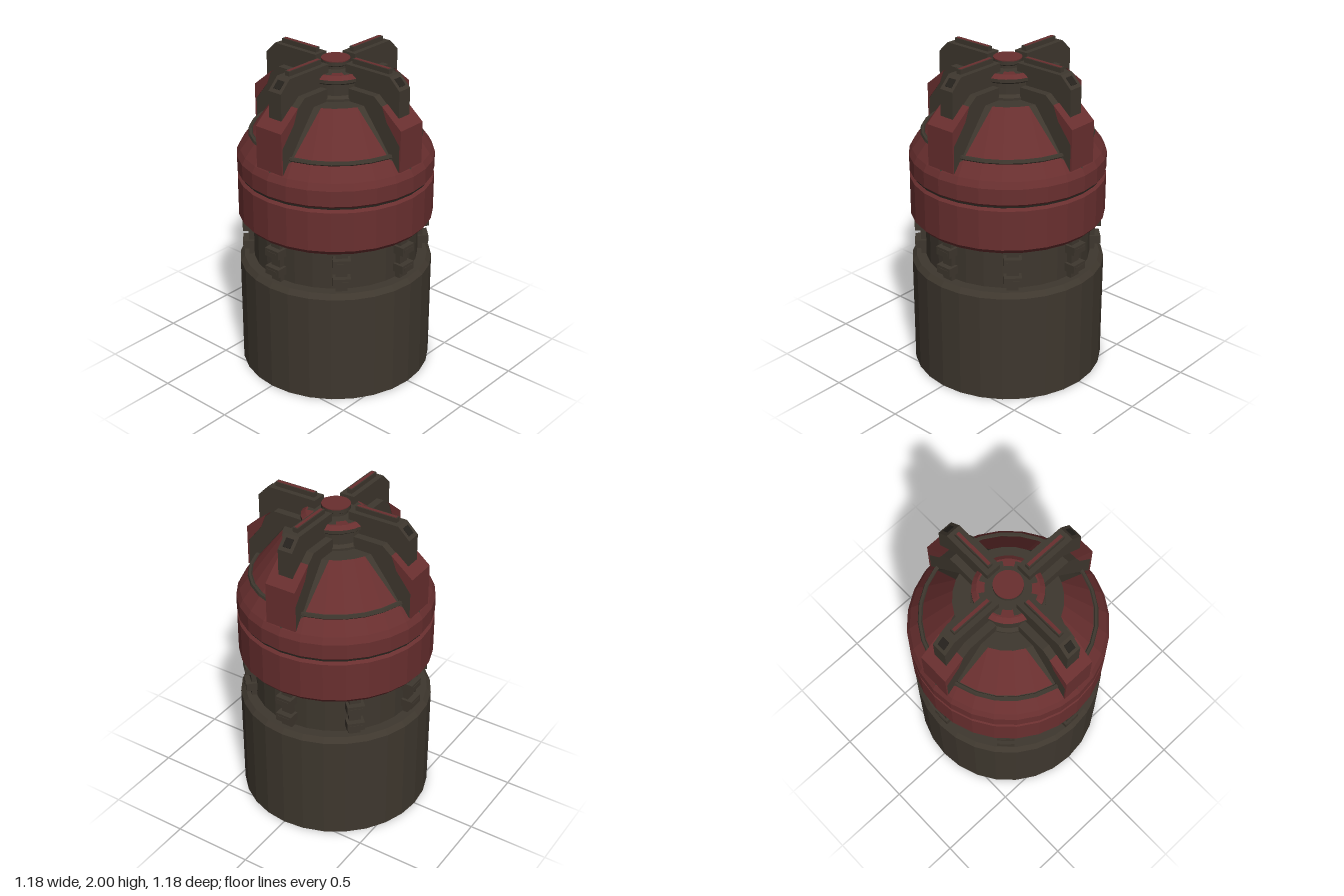
import * as THREE from 'three';

const SEG = 28;
const mat = (name, color, side = THREE.FrontSide) => {
  const m = new THREE.MeshStandardMaterial({ color, flatShading: true, side });
  m.name = name;
  return m;
};

export function createModel() {
  const dark = mat('dark brown metal', 0x3e372e);
  const red = mat('dull red paint', 0x692f2f);
  const black = mat('shadow brown', 0x26221d);
  const root = new THREE.Group();

  const add = (parent, name, geo, material, x = 0, y = 0, z = 0) => {
    const mesh = new THREE.Mesh(geo, material);
    mesh.name = name;
    mesh.position.set(x, y, z);
    parent.add(mesh);
    return mesh;
  };
  const lathe = (name, pts, material) =>
    add(root, name, new THREE.LatheGeometry(pts.map(p => new THREE.Vector2(...p)), SEG), material);
  const box = (parent, name, size, pos, material) =>
    add(parent, name, new THREE.BoxGeometry(...size), material, ...pos);
  // profile in (radius, height), extruded symmetrically across its width
  const slab = (parent, name, pts, width, material) => {
    const geo = new THREE.ExtrudeGeometry(
      new THREE.Shape(pts.map(p => new THREE.Vector2(...p))), { depth: width, bevelEnabled: false });
    geo.translate(0, 0, -width / 2);
    return add(parent, name, geo, material);
  };

  // conical band with a red panel in each quarter, tapering away from the arms
  function paintedBand(name, r0, y0, r1, y1, margin) {
    const lists = { dark: [], red: [] };
    const pt = (i, r, y) => {
      const a = i / SEG * Math.PI * 2;
      return [Math.sin(a) * r, y, Math.cos(a) * r];
    };
    for (let i = 0; i < SEG; i++) {
      const k = i % 7;
      const a = pt(i, r0, y0), b = pt(i + 1, r0, y0), c = pt(i + 1, r1, y1), d = pt(i, r1, y1);
      if (k === margin) {
        lists.red.push(...a, ...b, ...c);
        lists.dark.push(...a, ...c, ...d);
      } else if (k === 6 - margin) {
        lists.red.push(...a, ...b, ...d);
        lists.dark.push(...b, ...c, ...d);
      } else {
        const inside = k > margin && k < 6 - margin;
        lists[inside ? 'red' : 'dark'].push(...a, ...b, ...c, ...a, ...c, ...d);
      }
    }
    for (const [key, list] of Object.entries(lists)) {
      const geo = new THREE.BufferGeometry();
      geo.setAttribute('position', new THREE.Float32BufferAttribute(list, 3));
      geo.computeVertexNormals();
      add(root, name + (key === 'red' ? 'Paint' : 'Metal'), geo, key === 'red' ? red : dark);
    }
  }

  // canister body and recessed neck
  lathe('baseCanister', [[0, 0], [0.592, 0], [0.592, 0.69], [0.565, 0.72], [0.5, 0.72]], dark);
  lathe('neck', [[0.505, 0.71], [0.505, 0.99]], dark);

  // red collar rings with a dark seam between
  lathe('lowerCollar', [[0.5, 0.98], [0.565, 0.98], [0.592, 1.01], [0.592, 1.255], [0.575, 1.27], [0.55, 1.27]], red);
  lathe('collarSeam', [[0.575, 1.26], [0.575, 1.29]], black);
  lathe('upperCollar', [[0.55, 1.28], [0.575, 1.28], [0.592, 1.295], [0.592, 1.39], [0.572, 1.43]], red);
  paintedBand('shoulder', 0.572, 1.43, 0.512, 1.51, 0);
  lathe('shoulderRim', [[0.512, 1.51], [0.52, 1.518], [0.515, 1.533], [0.5, 1.533], [0.495, 1.525], [0.488, 1.53]], dark);

  // domed cone and central hub
  paintedBand('cone', 0.492, 1.53, 0.312, 1.775, 1);
  lathe('coneTop', [[0.312, 1.775], [0.21, 1.775], [0.21, 1.79], [0.19, 1.805], [0.19, 1.87], [0.203, 1.88], [0.203, 1.9]], dark);
  lathe('hubRing', [[0.203, 1.9], [0.175, 1.92], [0.165, 1.92]], red);
  lathe('hubTop', [[0.165, 1.92], [0.07, 1.92], [0.07, 1.935], [0.085, 1.945], [0.085, 1.967], [0, 1.967]], dark);
  add(root, 'hubButton', new THREE.CylinderGeometry(0.085, 0.085, 0.006, SEG), red, 0, 1.969, 0);

  // four arms
  for (let i = 0; i < 4; i++) {
    const arm = new THREE.Group();
    arm.name = 'arm' + (i + 1);
    arm.rotation.y = i * Math.PI / 2;
    root.add(arm);
    slab(arm, 'armBracket', [[0.18, 1.7], [0.18, 1.85], [0.37, 1.85], [0.565, 1.69],
      [0.565, 1.44], [0.42, 1.42]], 0.19, dark);
    slab(arm, 'armPaint', [[0.56, 1.44], [0.569, 1.44], [0.569, 1.693], [0.43, 1.807],
      [0.465, 1.72], [0.56, 1.6]], 0.196, red);
    slab(arm, 'armFin', [[0.115, 1.9], [0.115, 1.97], [0.44, 1.97], [0.512, 1.9],
      [0.512, 1.7], [0.18, 1.8]], 0.095, dark);
    box(arm, 'finRail', [0.27, 0.03, 0.032], [0.275, 1.983, 0], dark);
    box(arm, 'finStripe', [0.255, 0.004, 0.02], [0.275, 1.998, 0], red);
    const slot = box(arm, 'finSlot', [0.055, 0.006, 0.05], [0.476, 1.935, 0], black);
    slot.rotation.z = -Math.PI / 4;

    // red patch on the hub between arms
    const patch = new THREE.RingGeometry(0.13, 0.17, 4, 1, Math.PI * 0.18, Math.PI * 0.14);
    patch.rotateX(-Math.PI / 2);
    add(arm, 'hubPatch', patch, red, 0, 1.922, 0);
  }

  // eight clips round the neck, each a strip with two lugs
  for (let i = 0; i < 8; i++) {
    const clip = new THREE.Group();
    clip.name = 'neckClip' + (i + 1);
    clip.rotation.y = i * Math.PI / 4;
    root.add(clip);
    box(clip, 'clipStrip', [0.05, 0.27, 0.07], [0.51, 0.85, 0], dark);
    for (const y of [0.79, 0.91]) {
      box(clip, 'clipLug', [0.075, 0.052, 0.105], [0.532, y, 0], dark);
      box(clip, 'clipLugSlot', [0.004, 0.02, 0.075], [0.57, y, 0], dark);
    }
  }
  return root;
}
